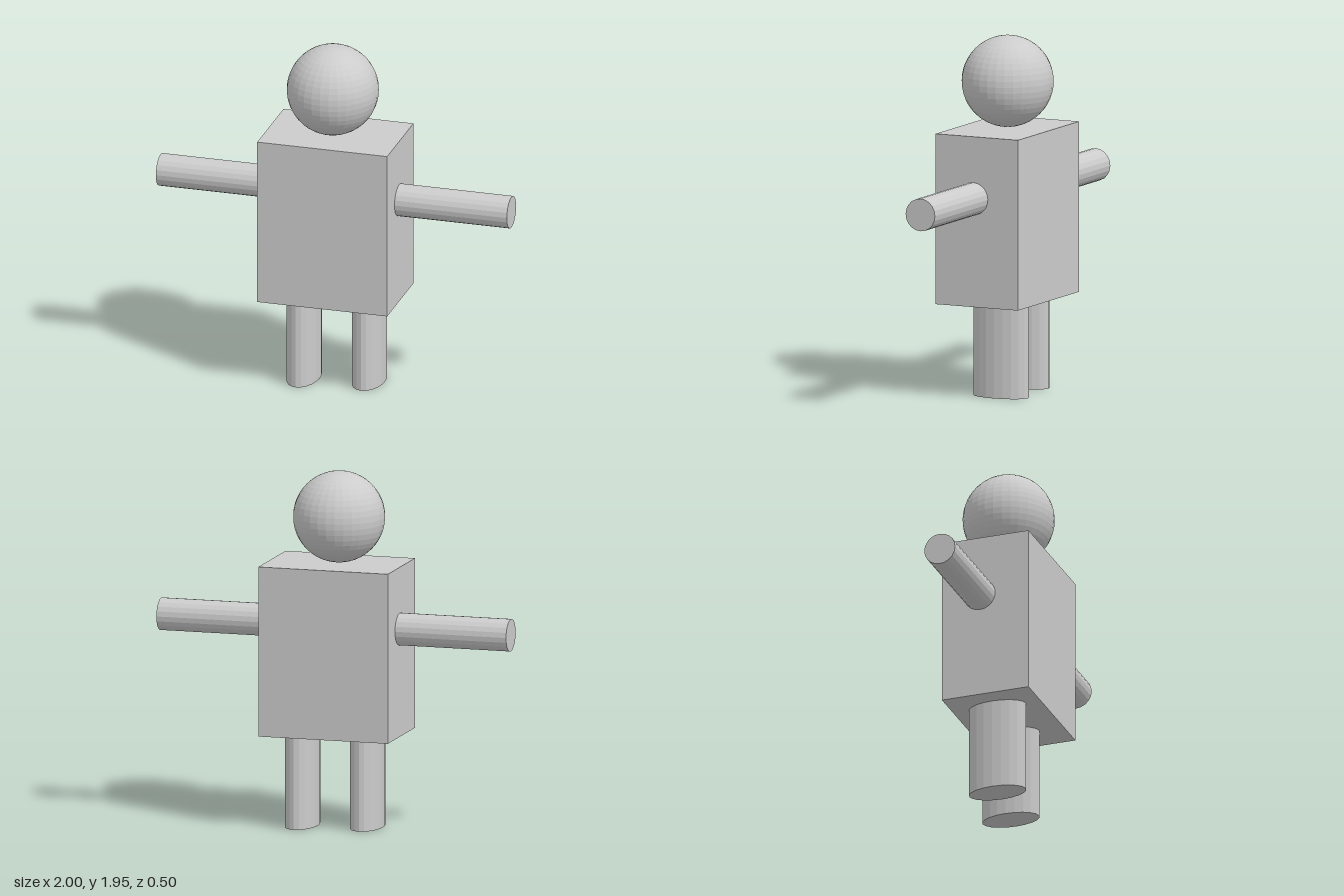
import * as THREE from 'three';

export function createModel() {
  const model = new THREE.Group();
  const material = new THREE.MeshStandardMaterial({ color: 0xcccccc, flatShading: true });

  function add(name, geometry, x, y, z) {
    const mesh = new THREE.Mesh(geometry, material);
    mesh.name = name;
    mesh.position.set(x, y, z);
    model.add(mesh);
    return mesh;
  }

  // Ball head resting on the block torso
  add('head', new THREE.SphereGeometry(0.25, 32, 24), -0.015, 1.7, 0);
  add('torso', new THREE.BoxGeometry(0.735, 0.935, 0.5), -0.0025, 0.978, -0.005);

  // Straight round arms, slightly offset from each other in depth
  const armLength = 0.64;
  for (const [name, side, z] of [['leftArm', 1, 0.017], ['rightArm', -1, -0.036]]) {
    const arm = add(name, new THREE.CylinderGeometry(0.089, 0.089, armLength, 20),
      side * (1 - armLength / 2), 1.105, z);
    arm.rotation.z = Math.PI / 2;
  }

  // Oval legs, deeper than they are wide
  for (const [name, x, z] of [['leftLeg', 0.175, -0.057], ['rightLeg', -0.178, -0.004]]) {
    const leg = new THREE.CylinderGeometry(0.088, 0.088, 0.52, 20);
    leg.scale(1, 1, 0.163 / 0.088);
    add(name, leg, x, 0.26, z);
  }

  return model;
}
